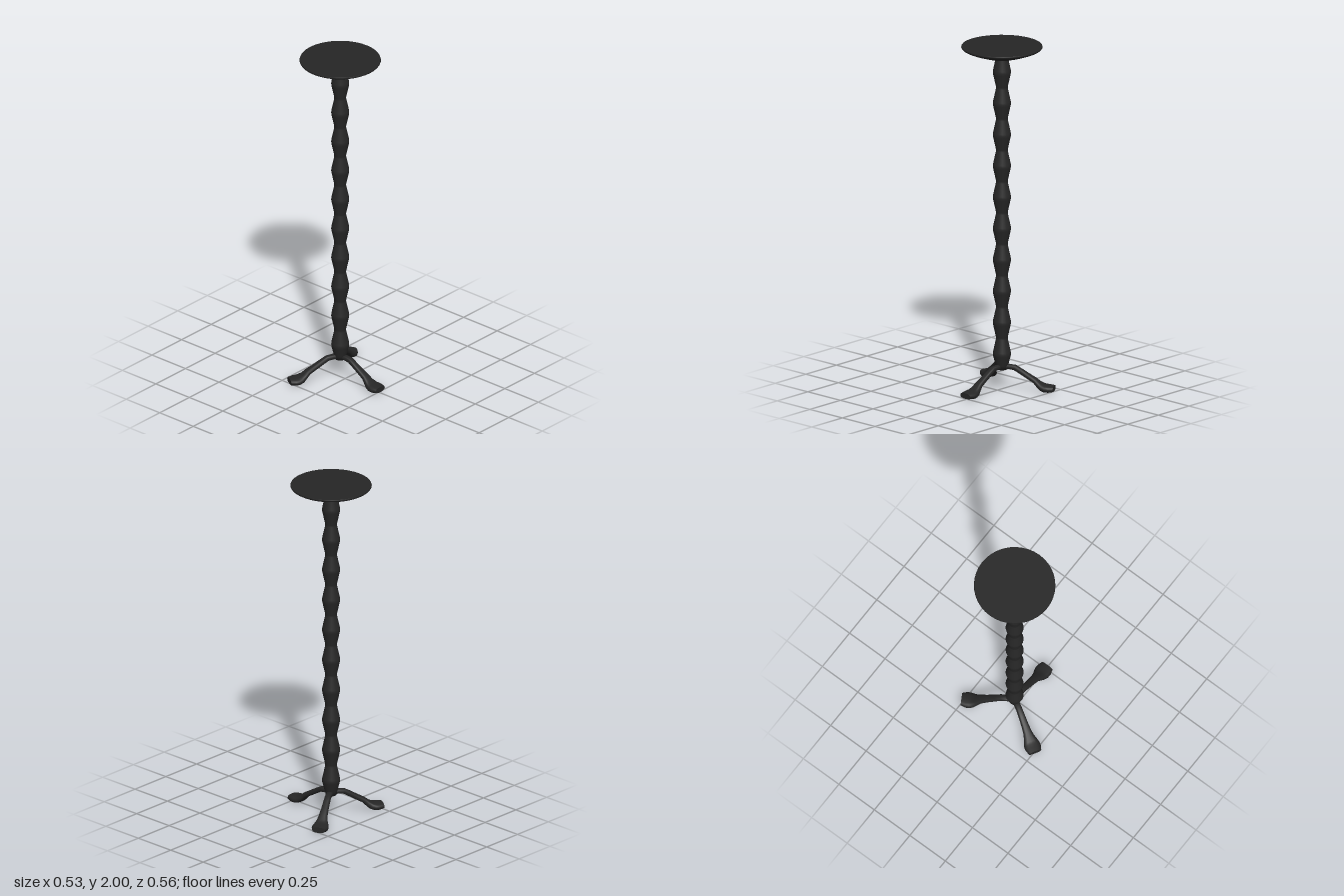
import * as THREE from 'three';

const material = new THREE.MeshStandardMaterial({ color: 0x262626 });
const AXIS_X = -0.037;

function lathe(name, points, sides) {
  const profile = points.map(([r, y]) => new THREE.Vector2(r, y));
  const mesh = new THREE.Mesh(new THREE.LatheGeometry(profile, sides), material);
  mesh.name = name;
  return mesh;
}

// Leg running out along +x, lofted through oval sections: [radius, y, half width, half height]
function legGeometry() {
  const sections = [
    [0.0, 0.135, 0.018, 0.013],
    [0.04, 0.137, 0.018, 0.014],
    [0.075, 0.133, 0.018, 0.015],
    [0.105, 0.116, 0.019, 0.015],
    [0.15, 0.089, 0.021, 0.015],
    [0.19, 0.066, 0.025, 0.015],
    [0.21, 0.047, 0.031, 0.017],
    [0.23, 0.032, 0.040, 0.020],
    [0.25, 0.025, 0.046, 0.021],
    [0.272, 0.024, 0.046, 0.020],
    [0.3, 0.025, 0.037, 0.016],
  ];
  const sides = 16, position = [], index = [];
  const addRing = (i) => {
    const [x, y, w, h] = sections[i];
    const a = sections[Math.max(i - 1, 0)], b = sections[Math.min(i + 1, sections.length - 1)];
    // keep the toe face upright
    const tilt = i >= sections.length - 2 ? 0 : Math.atan2(b[1] - a[1], b[0] - a[0]);
    for (let j = 0; j < sides; j++) {
      const t = (j / sides) * Math.PI * 2, c = Math.cos(t), s = Math.sin(t);
      const up = h * Math.sign(s) * Math.abs(s) ** 0.75;
      const across = w * Math.sign(c) * Math.abs(c) ** 0.75;
      position.push(x - Math.sin(tilt) * up, Math.max(0, y + Math.cos(tilt) * up), across);
    }
  };
  sections.forEach((_, i) => addRing(i));
  for (let i = 0; i < sections.length - 1; i++) {
    for (let j = 0; j < sides; j++) {
      const k = (j + 1) % sides, p = i * sides, q = p + sides;
      index.push(p + j, q + j, p + k, q + j, q + k, p + k);
    }
  }
  // flat toe cap with its own ring so that the edge stays sharp
  const start = position.length / 3;
  addRing(sections.length - 1);
  const [ex, ey] = sections[sections.length - 1];
  position.push(ex, ey, 0);
  for (let j = 0; j < sides; j++) index.push(start + sides, start + ((j + 1) % sides), start + j);

  const geometry = new THREE.BufferGeometry();
  geometry.setAttribute('position', new THREE.Float32BufferAttribute(position, 3));
  geometry.setIndex(index);
  geometry.computeVertexNormals();
  return geometry;
}

export function createModel() {
  const group = new THREE.Group();
  const stand = new THREE.Group();
  stand.name = 'stand';
  stand.position.x = AXIS_X;
  group.add(stand);

  // Column of ten repeated tapered beads
  const beads = 10, pitch = 0.1822, firstBulge = 0.21;
  const profile = [[0, 0.12], [0.03, 0.12], [0.036, 0.145]];
  for (let i = 0; i < beads; i++) {
    const y = firstBulge + i * pitch;
    profile.push([0.0495, y - 0.012], [0.0505, y], [0.0495, y + 0.012]);
    if (i < beads - 1) profile.push([0.0335, y + pitch / 2 - 0.006], [0.0335, y + pitch / 2 + 0.006]);
  }
  profile.push([0.035, 1.93], [0.035, 1.95]);
  stand.add(lathe('column', profile, 24));

  // Shallow dish-shaped top: underside and rim, then a flat upper face
  stand.add(lathe('topUnderside', [
    [0, 1.934], [0.07, 1.935], [0.09, 1.938], [0.13, 1.951], [0.18, 1.969],
    [0.212, 1.982], [0.224, 1.989], [0.228, 1.995], [0.226, 2.0],
  ], 40));
  stand.add(lathe('topSurface', [[0.226, 2.0], [0, 2.0]], 40));

  // Three legs
  const geometry = legGeometry();
  for (let i = 0; i < 3; i++) {
    const leg = new THREE.Mesh(geometry, material);
    leg.name = 'leg' + (i + 1);
    leg.rotation.y = (i * Math.PI * 2) / 3;
    stand.add(leg);
  }
  return group;
}
